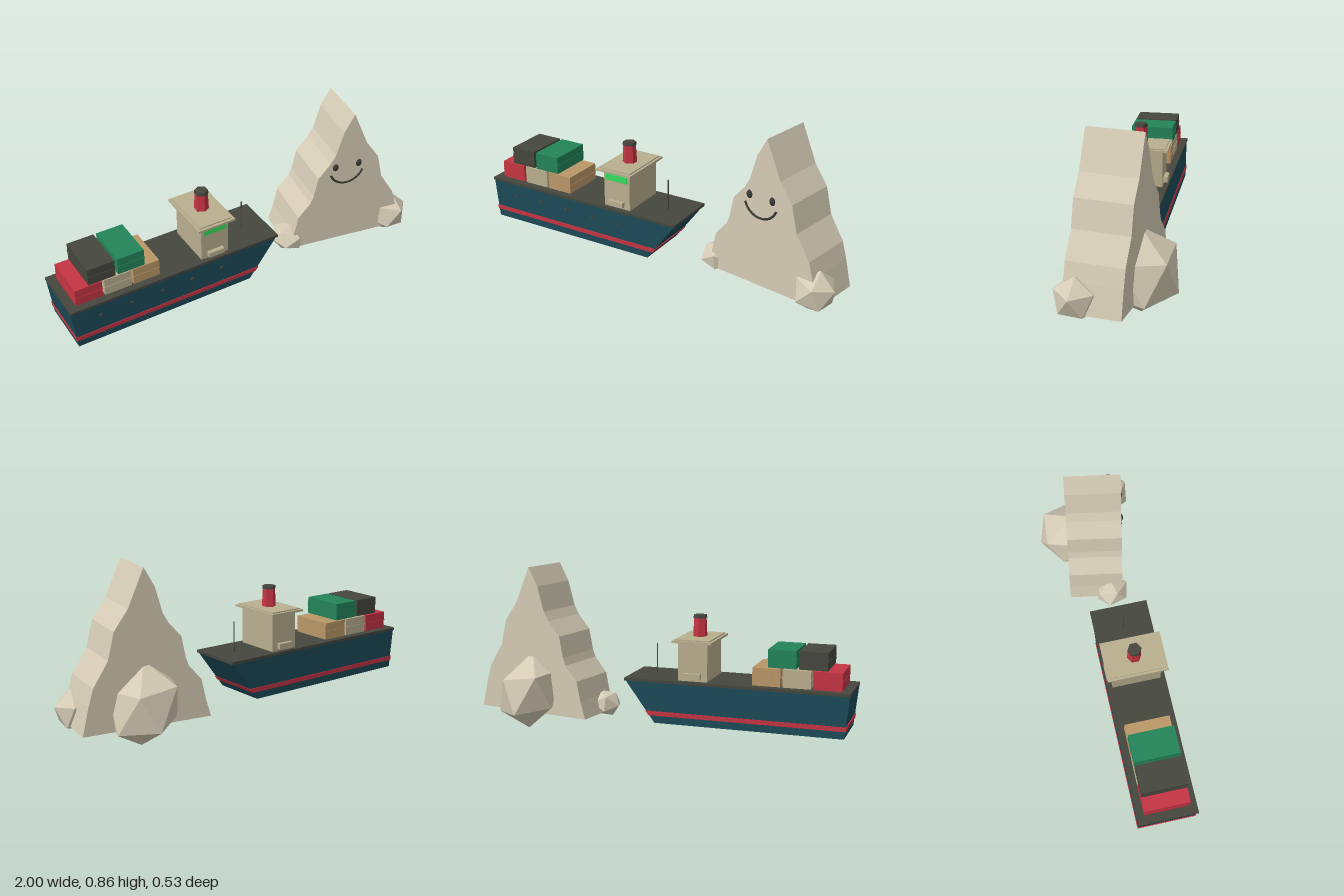
import * as THREE from 'three';

const COLORS = {
  hull: 0x1b4a57, red: 0xc53443, dark: 0x45473e, green: 0x23845a,
  tan: 0xba9768, cream: 0xb9ae8e, window: 0x35dd5c, rock: 0xd5cbb5, face: 0x3a3a33,
};
const materials = {};
for (const key in COLORS) {
  materials[key] = new THREE.MeshStandardMaterial({ color: COLORS[key], flatShading: key !== 'face' });
}

function add(parent, name, geometry, color, x = 0, y = 0, z = 0) {
  const mesh = new THREE.Mesh(geometry, materials[color]);
  mesh.name = name;
  mesh.position.set(x, y, z);
  parent.add(mesh);
  return mesh;
}

// Box given by its limits on each axis
function addBox(parent, name, color, [x0, x1], [y0, y1], [z0, z1]) {
  return add(parent, name, new THREE.BoxGeometry(x1 - x0, y1 - y0, z1 - z0), color,
    (x0 + x1) / 2, (y0 + y1) / 2, (z0 + z1) / 2);
}

// Side profile extruded symmetrically about z = 0
function slab(points, depth) {
  const shape = new THREE.Shape(points.map(([x, y]) => new THREE.Vector2(x, y)));
  return new THREE.ExtrudeGeometry(shape, { depth, bevelEnabled: false }).translate(0, 0, -depth / 2);
}

function createShip() {
  const ship = new THREE.Group();
  ship.name = 'cargoShip';
  ship.position.z = 0.05;

  // Raked hull sections: stern and bow position follow the height
  const stern = (y) => -0.975 - (y - 0.085) * 0.11;
  const bow = (y) => -0.015 + (y - 0.085) * 0.74;
  const section = (y0, y1, out) => [
    [stern(y0) - out, y0], [bow(y0) + out, y0], [bow(y1) + out, y1], [stern(y1) - out, y1],
  ];
  add(ship, 'hull', slab(section(0.085, 0.296, 0), 0.294), 'hull');
  add(ship, 'waterlineStripe', slab(section(0.123, 0.146, 0.004), 0.3), 'red');
  add(ship, 'deck', slab([[-1, 0.295], [0.147, 0.295], [0.147, 0.309], [-1, 0.309]], 0.304), 'dark');

  // Portholes on the front side
  for (let i = 0; i < 5; i++) {
    const porthole = add(ship, 'porthole', new THREE.CylinderGeometry(0.009, 0.009, 0.012, 8),
      'dark', -0.85 + i * 0.1665, 0.232, 0.148);
    porthole.rotation.x = Math.PI / 2;
  }

  // Stacked containers, each with a thin band at half height
  const containers = [
    ['red', -0.885, 0.31], ['cream', -0.733, 0.31], ['tan', -0.582, 0.31],
    ['dark', -0.813, 0.405], ['green', -0.659, 0.405],
  ];
  for (const [color, x, y] of containers) {
    const container = new THREE.Group();
    container.name = 'container';
    container.position.set(x, y, 0);
    addBox(container, 'containerBody', color, [-0.07, 0.07], [0, 0.09], [-0.115, 0.115]);
    addBox(container, 'containerBand', color, [-0.072, 0.072], [0.043, 0.047], [-0.117, 0.117]);
    ship.add(container);
  }

  // Bridge house with roof, window and side ledge
  addBox(ship, 'bridgeHouse', 'cream', [-0.285, -0.132], [0.309, 0.506], [-0.125, 0.125]);
  addBox(ship, 'bridgeRoof', 'cream', [-0.313, -0.108], [0.504, 0.515], [-0.154, 0.154]);
  addBox(ship, 'roofTop', 'cream', [-0.3, -0.121], [0.515, 0.521], [-0.14, 0.14]);
  addBox(ship, 'bridgeWindow', 'window', [-0.272, -0.145], [0.455, 0.489], [0.12, 0.13]);
  addBox(ship, 'sideLedge', 'cream', [-0.252, -0.165], [0.322, 0.35], [-0.147, 0.147]);

  // Funnel and mast
  add(ship, 'funnel', new THREE.CylinderGeometry(0.032, 0.037, 0.1, 6), 'red', -0.21, 0.568, 0);
  add(ship, 'funnelCap', new THREE.CylinderGeometry(0.034, 0.036, 0.016, 6), 'dark', -0.21, 0.622, 0);
  add(ship, 'mast', new THREE.CylinderGeometry(0.003, 0.003, 0.162, 6), 'dark', 0.02, 0.389, 0);
  return ship;
}

function createRock() {
  const rock = new THREE.Group();
  rock.name = 'smilingRock';
  rock.position.set(0.642, 0, 0.025);
  rock.rotation.y = -0.175;

  // Stepped peak
  const depth = 0.284;
  add(rock, 'peak', slab([
    [-0.337, 0.09], [0.318, 0.09], [0.285, 0.23], [0.26, 0.315], [0.184, 0.435],
    [0.151, 0.57], [0.08, 0.668], [0.024, 0.855], [-0.002, 0.855], [-0.055, 0.76], [-0.093, 0.63],
    [-0.12, 0.583], [-0.185, 0.508], [-0.207, 0.4], [-0.222, 0.36],
    [-0.288, 0.283], [-0.31, 0.18],
  ].filter(([x]) => x !== 0.024), depth), 'rock');

  // Eyes and smile
  for (const side of [-1, 1]) {
    add(rock, 'eye', new THREE.SphereGeometry(1, 16, 12), 'face', -0.025 + side * 0.066, 0.555, depth / 2)
      .scale.set(0.016, 0.021, 0.01);
  }
  const arc = 2.5;
  const smile = add(rock, 'smile', new THREE.TorusGeometry(0.095, 0.006, 6, 24, arc), 'face',
    -0.025, 0.543, depth / 2);
  smile.rotation.z = -Math.PI / 2 - arc / 2;
  return rock;
}

// Loose boulders at the foot of the peak
function createBoulders() {
  const boulders = new THREE.Group();
  boulders.name = 'boulders';
  const list = [
    ['smallBoulder', [0.31, 0.131, 0.053], [0.085, 0.072, 0.098], [0.1, 0.3, 0.1]],
    ['frontBoulder', [0.888, 0.15, 0.16], [0.112, 0.11, 0.112], [0.1, 0.45, 0.3]],
    ['backBoulder', [0.675, 0.204, -0.095], [0.17, 0.217, 0.198], [0, 0.25, 0.52]],
  ];
  for (const [name, position, scale, rotation] of list) {
    const boulder = add(boulders, name, new THREE.IcosahedronGeometry(1, 0), 'rock', ...position);
    boulder.scale.set(...scale);
    boulder.rotation.set(...rotation);
  }
  return boulders;
}

export function createModel() {
  const model = new THREE.Group();
  model.name = 'shipAndRock';
  model.add(createShip(), createRock(), createBoulders());
  return model;
}
